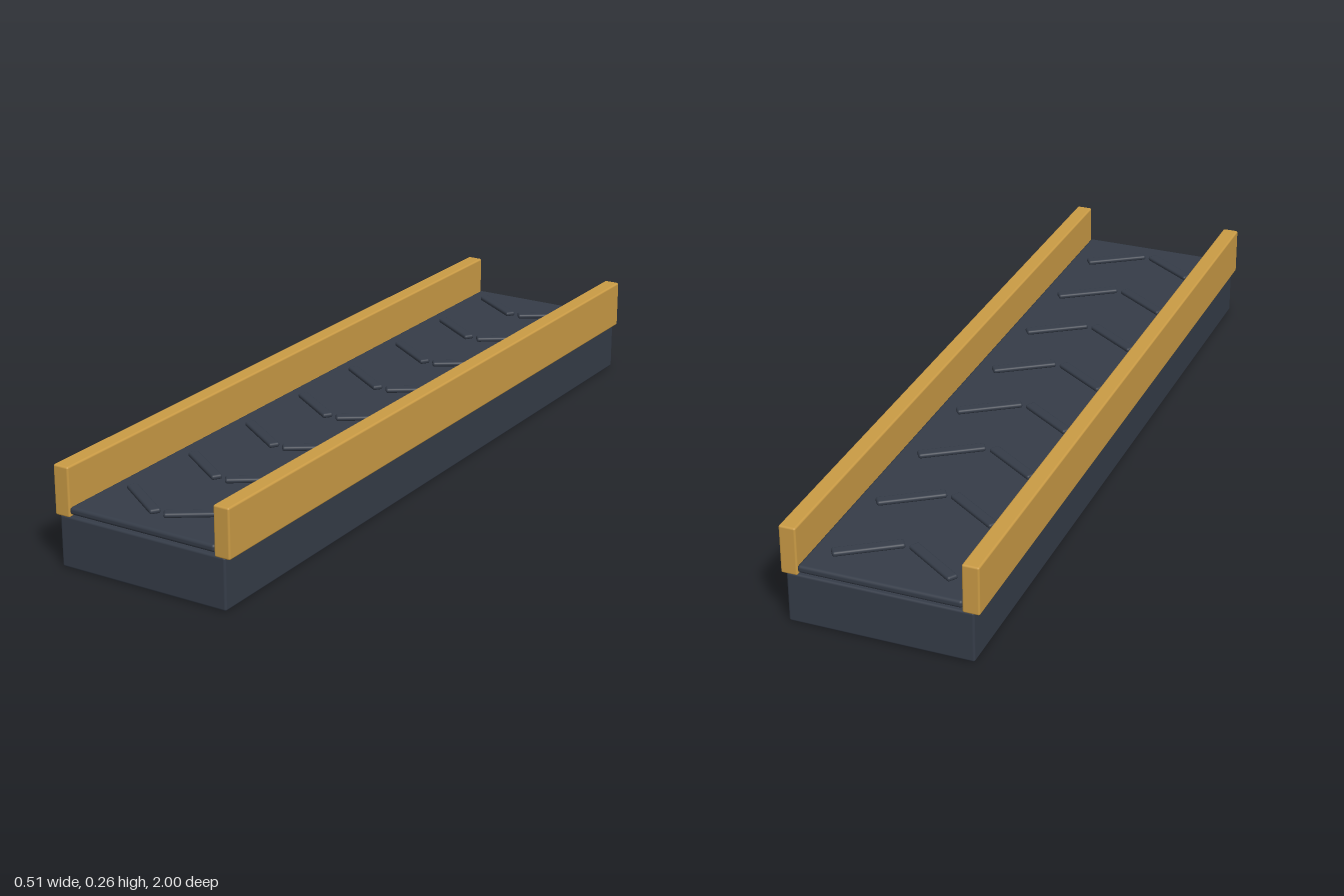
import * as THREE from 'three';
import { RoundedBoxGeometry } from 'three/addons/geometries/RoundedBoxGeometry.js';

export function createModel() {
  const group = new THREE.Group();
  const slate = new THREE.MeshStandardMaterial({ color: 0x353c48 });
  slate.name = 'dark slate';
  const amber = new THREE.MeshStandardMaterial({ color: 0xca9b45 });
  amber.name = 'amber';

  // Rounded box placed by its centre x/z and its bottom height
  function block(name, material, [w, h, d], radius, x, bottom, z) {
    const mesh = new THREE.Mesh(new RoundedBoxGeometry(w, h, d, 3, radius), material);
    mesh.name = name;
    mesh.position.set(x, bottom + h / 2, z);
    group.add(mesh);
    return mesh;
  }

  // Conveyor bed and the belt floating just above it
  block('bed', slate, [0.48, 0.136, 2], 0.006, 0, 0, 0);
  block('belt', slate, [0.422, 0.02, 2], 0.008, 0, 0.141, 0);

  for (const side of [-1, 1]) {
    // Side rail
    block(side > 0 ? 'leftRail' : 'rightRail', amber, [0.044, 0.13, 2], 0.005, side * 0.232, 0.132, 0);

    // Chevron cleats, apex towards the front
    for (let i = 0; i < 8; i++) {
      const cleat = block('cleat', slate, [0.176, 0.013, 0.029], 0.006, side * 0.084, 0.16, -0.875 + i * 0.25);
      cleat.rotation.y = side * 0.6;
    }
  }
  return group;
}
